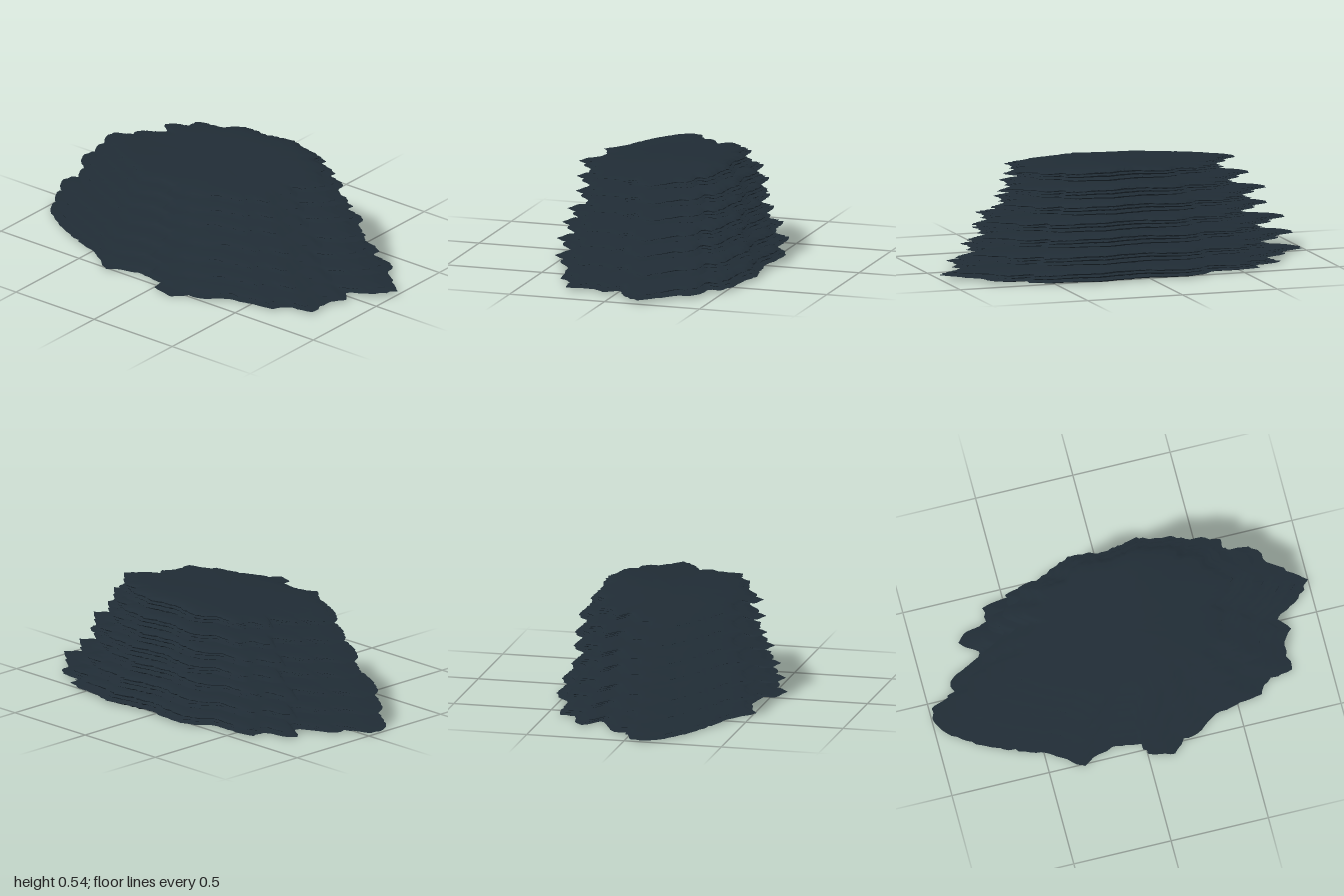
import * as THREE from 'three';
import { toCreasedNormals } from 'three/addons/utils/BufferGeometryUtils.js';

// Ragged rim of the largest slab as x, z pairs
const RIM = [
  1, -0.17, 0.97, -0.12, 0.9, -0.06, 0.8, -0.01, 0.86, 0.06, 0.8, 0.13, 0.82, 0.27, 0.77, 0.285,
  0.7, 0.29, 0.63, 0.36, 0.5, 0.38, 0.35, 0.42, 0.28, 0.48, 0.2, 0.5, 0.13, 0.56, 0, 0.53,
  0.01, 0.47, -0.15, 0.45, -0.27, 0.48, -0.33, 0.52, -0.42, 0.44, -0.52, 0.39, -0.7, 0.33,
  -0.85, 0.25, -0.95, 0.18, -1, 0.1, -0.99, 0.03, -0.87, -0.03, -0.86, -0.1, -0.75, -0.15,
  -0.68, -0.2, -0.78, -0.27, -0.74, -0.32, -0.61, -0.35, -0.62, -0.43, -0.5, -0.45, -0.38, -0.45,
  -0.28, -0.52, -0.2, -0.55, -0.08, -0.55, 0, -0.52, 0.15, -0.54, 0.3, -0.565, 0.42, -0.54,
  0.55, -0.52, 0.63, -0.49, 0.65, -0.43, 0.78, -0.41, 0.84, -0.32, 0.91, -0.25,
];

// Extents of each slab, bottom to top: xMin, xMax, zMin, zMax
const SLABS = [
  [-1, 1, -0.56, 0.56], [-0.96, 0.91, -0.53, 0.56], [-0.92, 0.84, -0.48, 0.54],
  [-0.82, 0.82, -0.48, 0.5], [-0.81, 0.72, -0.465, 0.475], [-0.72, 0.68, -0.455, 0.465],
  [-0.65, 0.64, -0.4, 0.45],
];
const PITCH = 0.08;
const COUNT = 200;

// Rings of a slab: scale from the centre, height share between underside and top, roughness
const RINGS = [
  [0, 0, 0], [0.5, 0, 0], [0.8, 0, 0], [0.93, 0, 0.01], [0.98, 0.08, 0.02], [1, 0.22, 0],
  [0.94, 0.38, 0.02], [0.975, 0.55, 0.02], [0.93, 0.66, 0.02], [0.945, 0.8, 0.02], [0.91, 0.93, 0.02],
  [0.87, 1, 0.01], [0.75, 1, 0], [0.55, 1, 0], [0.3, 1, 0], [0, 1, 0],
];

function seeded(seed) {
  return () => {
    seed = (seed * 16807) % 2147483647;
    return seed / 2147483647;
  };
}

// Straight-line lookup in a short list of [position, value] steps
function lookup(steps, t) {
  for (let i = 1; i < steps.length; i++) {
    const [a, va] = steps[i - 1], [b, vb] = steps[i];
    if (t <= b) return va + (vb - va) * Math.max(0, (t - a) / (b - a));
  }
  return steps[steps.length - 1][1];
}

// Top surface: crest right of centre towards the back, thinning to the front lip
const ACROSS = [
  [-1, 0.34], [-0.8, 0.37], [-0.5, 0.52], [-0.2, 0.76], [0, 0.91], [0.2, 1], [0.4, 0.92], [0.6, 0.77], [0.8, 0.63], [1, 0.54],
];
const ALONG = [[-0.48, 0.95], [-0.4, 1], [-0.25, 0.94], [0, 0.72], [0.25, 0.55], [0.4, 0.35], [0.48, 0.12], [0.56, 0.08]];
const topHeight = (x, z) => 0.061 * lookup(ALONG, z) * lookup(ACROSS, x);
const underHeight = (x) => 0.016 * Math.max(0, x) ** 4 + 0.003 * Math.max(0, -x) ** 6;

// Straight runs between the rim corners, chipped inwards at random
function rimPoints() {
  const random = seeded(911);
  const corners = [];
  for (let i = 0; i < RIM.length; i += 2) corners.push(new THREE.Vector3(RIM[i], 0, RIM[i + 1]));
  const curve = new THREE.CatmullRomCurve3(corners, true, 'catmullrom', 0);
  return curve.getSpacedPoints(COUNT).slice(0, COUNT).map((p) => p.multiplyScalar(1 - 0.025 * random() ** 2));
}

function slabGeometry(rim, [xMin, xMax, zMin, zMax]) {
  const random = seeded(4217);
  const positions = [];
  const index = [];
  for (const [scale, share, rough] of RINGS) {
    for (const p of rim) {
      const s = scale - rough * random();
      const x = p.x * s, z = p.z * s;
      const low = underHeight(x);
      const y = low + Math.max(topHeight(x, z) - low, 0.004) * share;
      positions.push(
        (xMin + xMax) / 2 + x * (xMax - xMin) / 2,
        y,
        (zMin + zMax) / 2 + z * (zMax - zMin) / 1.12,
      );
    }
  }
  // The first and last rings are single points, so one triangle per step closes them
  for (let r = 0; r < RINGS.length - 1; r++) {
    for (let j = 0; j < COUNT; j++) {
      const k = (j + 1) % COUNT;
      const a = r * COUNT + j, b = r * COUNT + k, c = a + COUNT, d = b + COUNT;
      if (r > 0) index.push(a, c, b);
      if (r < RINGS.length - 2) index.push(b, c, d);
    }
  }
  const geometry = new THREE.BufferGeometry();
  geometry.setAttribute('position', new THREE.Float32BufferAttribute(positions, 3));
  geometry.setIndex(index);
  return toCreasedNormals(geometry, 0.7);
}

export function createModel() {
  const model = new THREE.Group();
  model.name = 'slabStack';
  const slate = new THREE.MeshStandardMaterial({ color: 0x202c35 });
  slate.name = 'dark slate';

  // Seven separate rock slabs, each smaller than the one below
  const rim = rimPoints();
  SLABS.forEach((extents, i) => {
    const slab = new THREE.Mesh(slabGeometry(rim, extents), slate);
    slab.name = `rockSlab${i + 1}`;
    slab.position.y = i * PITCH;
    model.add(slab);
  });
  return model;
}
